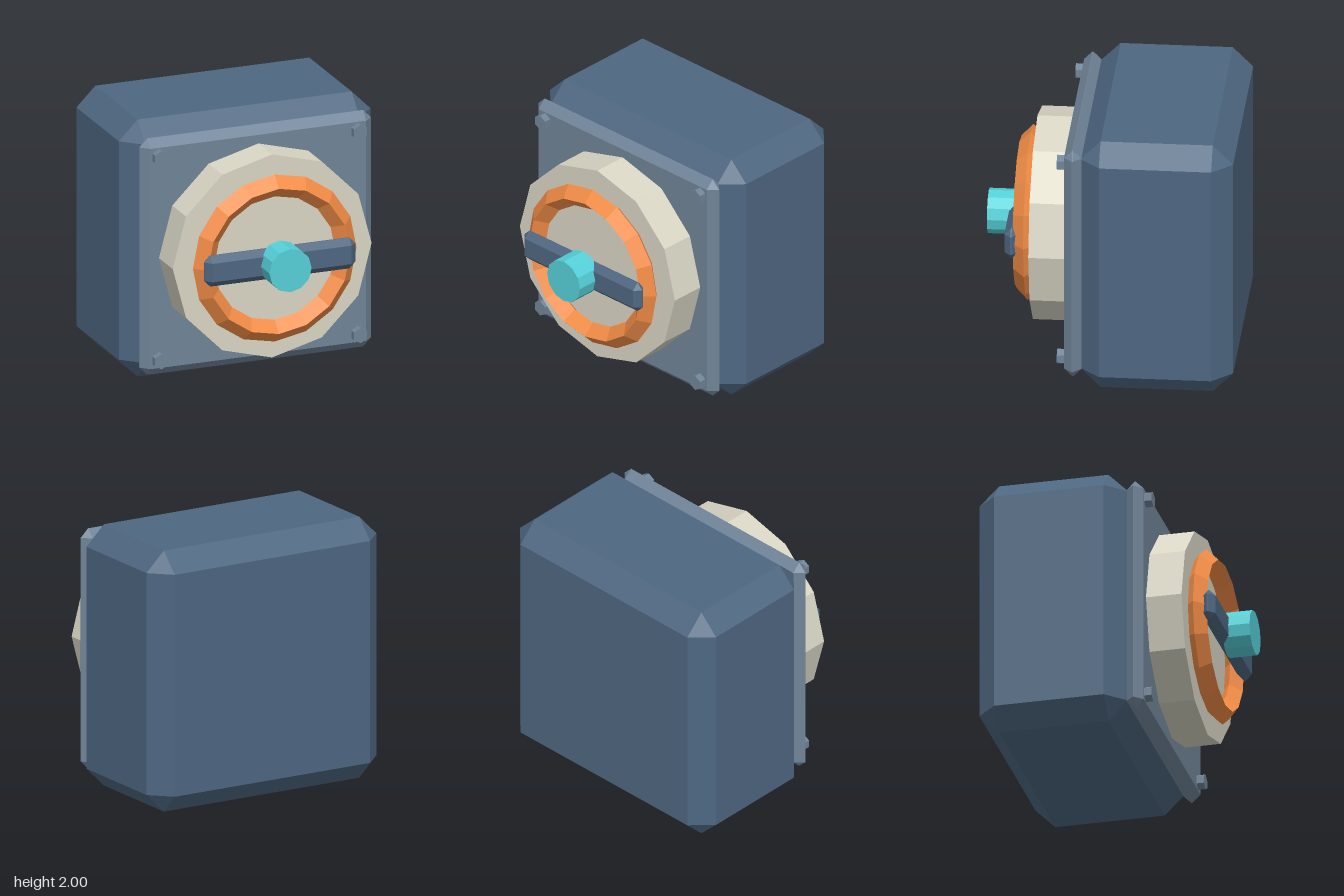
import * as THREE from 'three';
import { ConvexGeometry } from 'three/addons/geometries/ConvexGeometry.js';

const paint = (color) => new THREE.MeshStandardMaterial({ color, flatShading: true });

// Box with all twelve edges cut at 45 degrees and triangular corners
function chamferedBox(w, h, d, c) {
  const [x, y, z] = [w / 2, h / 2, d / 2];
  const points = [];
  for (const sx of [-1, 1]) for (const sy of [-1, 1]) for (const sz of [-1, 1]) {
    points.push(
      new THREE.Vector3(sx * x, sy * (y - c), sz * (z - c)),
      new THREE.Vector3(sx * (x - c), sy * y, sz * (z - c)),
      new THREE.Vector3(sx * (x - c), sy * (y - c), sz * z)
    );
  }
  return new ConvexGeometry(points);
}

// Faceted disc whose axis runs along z, from z0 to z1
function disc(radius, z0, z1, sides) {
  return new THREE.CylinderGeometry(radius, radius, z1 - z0, sides)
    .rotateX(Math.PI / 2)
    .translate(0, 0, (z0 + z1) / 2);
}

export function createModel() {
  const model = new THREE.Group();
  model.name = 'dialBox';

  const navy = paint(0x4e6781);
  const slate = paint(0x708498);
  const cream = paint(0xd9d6c5);
  const orange = paint(0xf28c46);
  const teal = paint(0x55d0d8);

  const add = (name, geometry, material, x = 0, y = 1, z = 0) => {
    const mesh = new THREE.Mesh(geometry, material);
    mesh.name = name;
    mesh.position.set(x, y, z);
    model.add(mesh);
  };

  // Housing and front plate
  add('housing', chamferedBox(2, 2, 1.13, 0.15), navy, 0, 1, -0.375);
  add('frontPlate', chamferedBox(1.84, 1.84, 0.13, 0.063), slate, 0, 1, 0.245);

  // Hexagonal bolts in the plate corners
  const bolt = disc(0.06, 0.29, 0.365, 6);
  for (const x of [-0.79, 0.79]) for (const y of [0.21, 1.79]) add('bolt', bolt, slate, x, y);

  // Dial, ring, crossbar and central knob
  add('dial', disc(0.79, 0.29, 0.58, 12), cream);
  add('ring', new THREE.TorusGeometry(0.565, 0.085, 4, 16), orange, 0, 1, 0.63);
  add('crossbar', chamferedBox(1.2, 0.24, 0.105, 0.048), navy, 0, 1, 0.725);
  add('knob', disc(0.168, 0.73, 0.94, 12), teal);

  return model;
}
